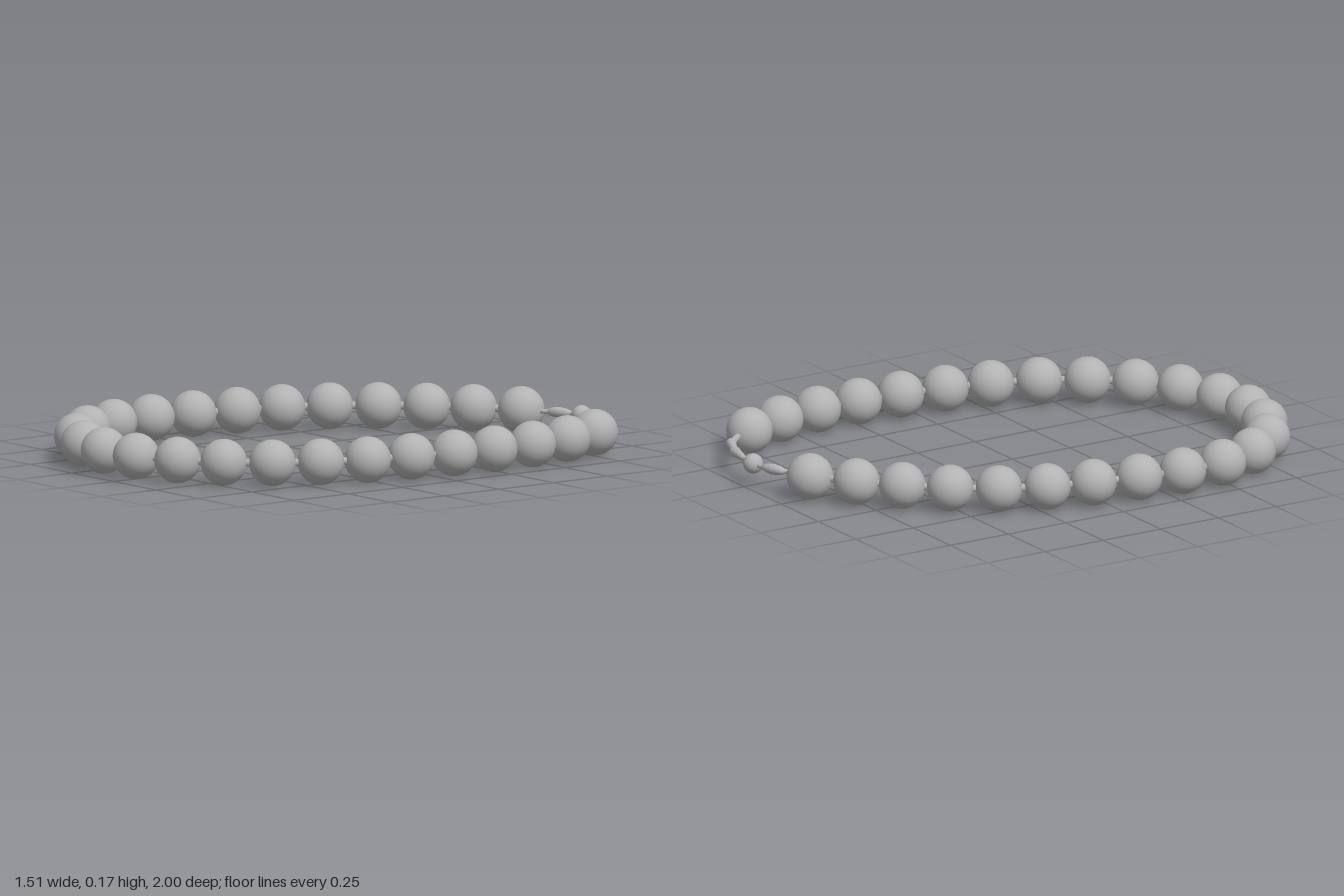
import * as THREE from 'three';

const BEAD_R = 0.085;
const Y = 0.085;

// Bead centres (x, z) in stringing order, from one clasp end round to the other
const BEADS = [
  [0, -0.876], [-0.143, -0.767], [-0.272, -0.651], [-0.392, -0.521], [-0.495, -0.376],
  [-0.569, -0.214], [-0.616, -0.045], [-0.653, 0.13], [-0.676, 0.304], [-0.671, 0.481],
  [-0.612, 0.648], [-0.498, 0.783], [-0.344, 0.871], [-0.172, 0.912], [0.003, 0.9],
  [0.169, 0.837], [0.312, 0.735], [0.431, 0.603], [0.521, 0.45], [0.585, 0.283],
  [0.625, 0.112], [0.653, -0.063], [0.665, -0.238], [0.665, -0.415], [0.641, -0.593],
  [0.585, -0.762],
];

export function createModel() {
  const group = new THREE.Group();
  group.name = 'beadBracelet';
  const grey = new THREE.MeshStandardMaterial({ color: 0xb2b2b2 });
  grey.name = 'pearl grey';

  const add = (geometry, name) => {
    const mesh = new THREE.Mesh(geometry, grey);
    mesh.name = name;
    group.add(mesh);
    return mesh;
  };
  const at = ([x, z]) => new THREE.Vector3(x, Y, z);

  // Turned link between two points; profile is [radius, fraction of length]
  const link = (a, b, profile, name) => {
    const from = at(a);
    const dir = at(b).sub(from);
    const length = dir.length();
    const points = profile.map(([r, t]) => new THREE.Vector2(r, t * length));
    const mesh = add(new THREE.LatheGeometry(points, 16), name);
    mesh.position.copy(from);
    mesh.quaternion.setFromUnitVectors(new THREE.Vector3(0, 1, 0), dir.normalize());
  };

  // Large beads
  const sphere = new THREE.SphereGeometry(BEAD_R, 40, 28);
  BEADS.forEach((p, i) => add(sphere, `bead${i + 1}`).position.copy(at(p)));

  // Cord through the beads
  const cord = new THREE.CatmullRomCurve3(BEADS.map(at));
  add(new THREE.TubeGeometry(cord, 150, 0.014, 10), 'cord');

  // Clasp: small ball with tapered links on both sides
  const ball = [0.243, -0.966];
  add(new THREE.SphereGeometry(0.037, 28, 20), 'claspBall').position.copy(at(ball));

  const claspCord = new THREE.CatmullRomCurve3([
    BEADS[0], [0.075, -0.905], [0.15, -0.95], ball, [0.32, -0.961],
    [0.4, -0.944], [0.492, -0.9], [0.55, -0.835], BEADS[25],
  ].map(at));
  add(new THREE.TubeGeometry(claspCord, 60, 0.009, 10), 'claspCord');

  const spindle = [[0, 0], [0.009, 0], [0.017, 0.25], [0.02, 0.5], [0.017, 0.75], [0.009, 1], [0, 1]];
  const cone = [[0, 0], [0.01, 0], [0.014, 0.4], [0.02, 0.93], [0.018, 1], [0, 1]];
  link([0.095, -0.922], [0.19, -0.961], spindle, 'claspSpindle');
  link([0.308, -0.962], [0.403, -0.944], cone, 'claspInnerCone');
  link([0.396, -0.947], [0.495, -0.9], cone, 'claspOuterCone');
  link([0.49, -0.902], [0.56, -0.82], [[0, 0], [0.011, 0], [0.013, 0.5], [0.01, 1], [0, 1]], 'claspEndLink');

  return group;
}
